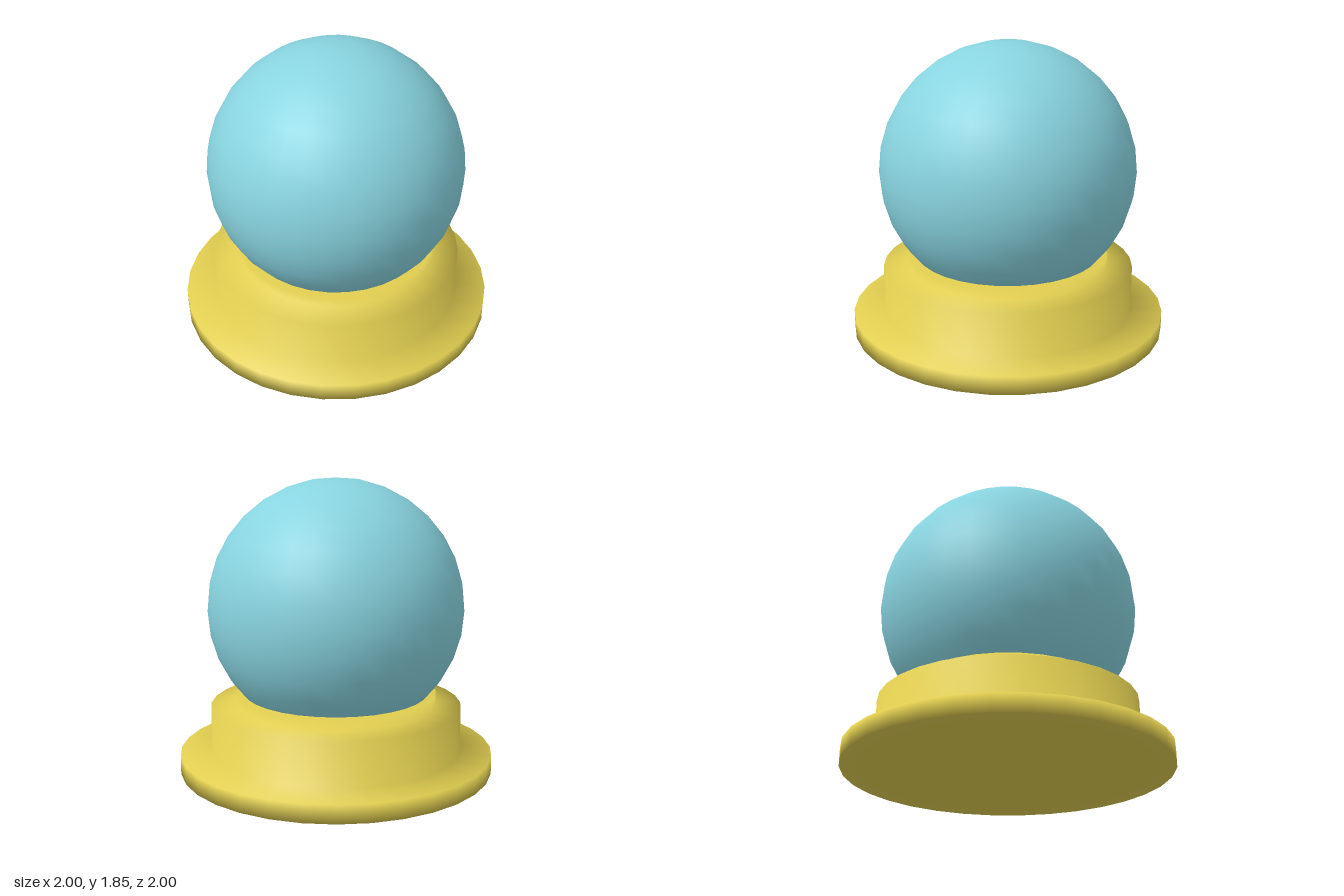
import * as THREE from 'three';

const SIDES = 32;

function addPart(group, name, geometry, color) {
  const mesh = new THREE.Mesh(geometry, new THREE.MeshStandardMaterial({ color }));
  mesh.name = name;
  group.add(mesh);
  return mesh;
}

export function createModel() {
  const group = new THREE.Group();
  group.name = 'globeOnStand';

  // Stepped round stand: closed bottom, foot, drum, collar and top
  const profile = [
    [0, 0], [1, 0], [1, 0.115], [0.8, 0.13], [0.8, 0.415],
    [0.64, 0.43], [0.64, 0.495], [0, 0.495],
  ].map(([r, y]) => new THREE.Vector2(r, y));
  addPart(group, 'stand', new THREE.LatheGeometry(profile, SIDES), 0xe0cd50);

  // Globe resting in the collar
  const globe = addPart(group, 'globe', new THREE.SphereGeometry(0.807, SIDES, 16), 0x88d4e0);
  globe.position.y = 1.045;

  return group;
}
